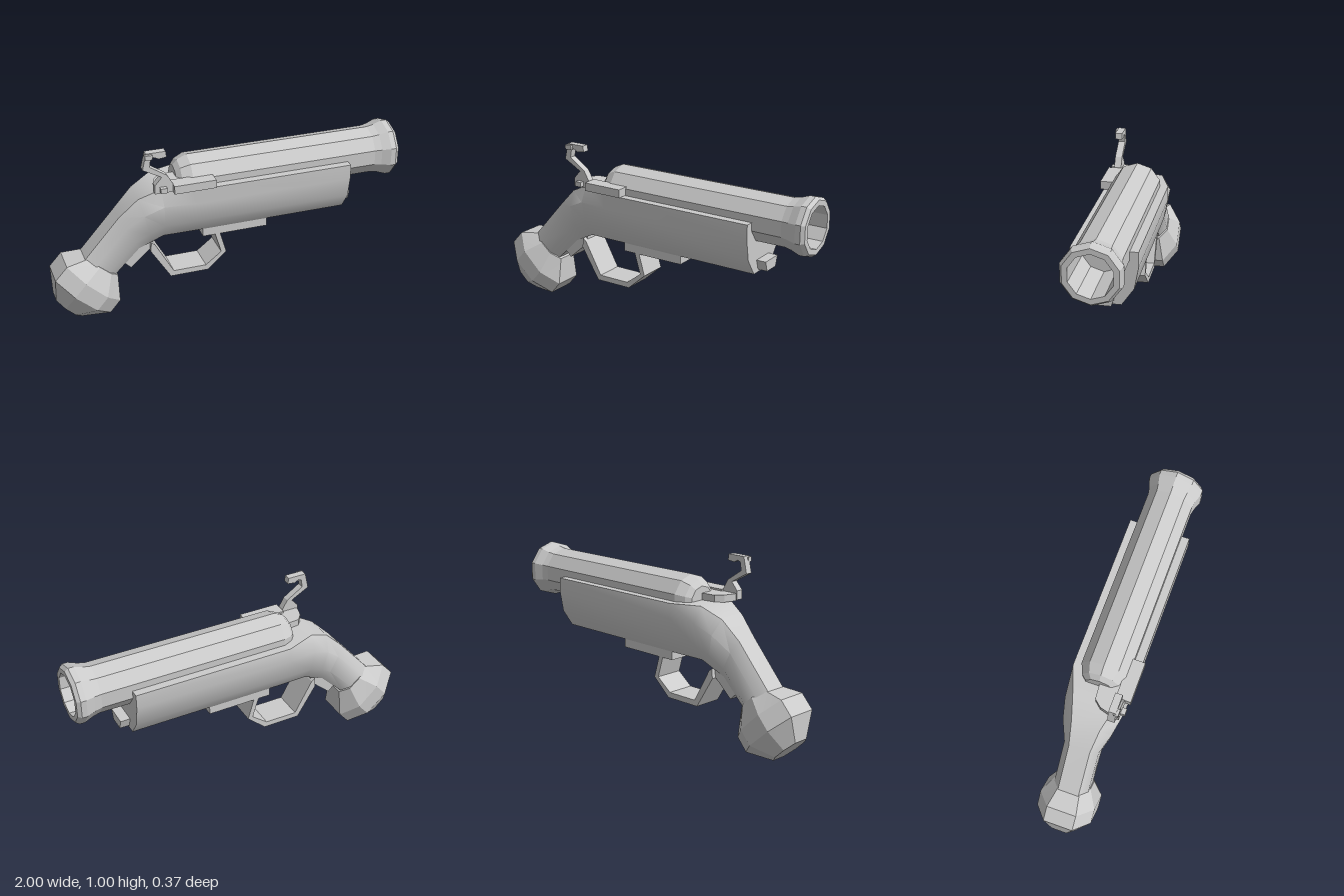
import * as THREE from 'three';
import { toCreasedNormals } from 'three/addons/utils/BufferGeometryUtils.js';

const MID = -0.008; // z of the gun's centre plane
const flat = new THREE.MeshStandardMaterial({ color: 0xcccccc, flatShading: true, side: THREE.DoubleSide });
const smooth = new THREE.MeshStandardMaterial({ color: 0xcccccc });

function add(group, name, geometry, material = flat) {
  const mesh = new THREE.Mesh(geometry, material);
  mesh.name = name;
  group.add(mesh);
  return mesh;
}

// Side outline in x,y, extruded between two z values
function slab(points, z0, z1) {
  const shape = new THREE.Shape(points.map(([x, y]) => new THREE.Vector2(x, y)));
  return new THREE.ExtrudeGeometry(shape, { depth: z1 - z0, bevelEnabled: false }).translate(0, 0, z0);
}

function box(x0, x1, y0, y1, z0, z1) {
  return new THREE.BoxGeometry(x1 - x0, y1 - y0, z1 - z0)
    .translate((x0 + x1) / 2, (y0 + y1) / 2, (z0 + z1) / 2);
}

// Mirrored rings: top point, bottom point, then [fraction down, half width] pairs
function loft(rings, crease) {
  const pos = [], index = [];
  for (const [top, bottom, profile] of rings) {
    const half = profile.map(([t, w]) => [
      top[0] + (bottom[0] - top[0]) * t, top[1] + (bottom[1] - top[1]) * t, w]);
    for (const [x, y, w] of half) pos.push(x, y, MID + w);
    for (const [x, y, w] of half.reverse()) pos.push(x, y, MID - w);
  }
  const n = rings[0][2].length * 2, last = (rings.length - 1) * n;
  for (let r = 0; r < last; r += n) {
    for (let j = 0; j < n; j++) {
      const a = r + j, b = r + (j + 1) % n;
      index.push(a, a + n, b, b, a + n, b + n);
    }
  }
  for (let j = 1; j < n - 1; j++) {
    index.push(0, j, j + 1, last, last + j + 1, last + j);
  }
  const g = new THREE.BufferGeometry();
  g.setAttribute('position', new THREE.Float32BufferAttribute(pos, 3));
  g.setIndex(index);
  return toCreasedNormals(g, crease);
}

export function createModel() {
  const gun = new THREE.Group();
  gun.name = 'pistol';

  // Ten-sided barrel with closed breech, flared muzzle and open bore
  const barrelProfile = [
    [0, -0.3], [0.082, -0.3], [0.112, -0.275], [0.137, -0.22], [0.137, 0.86], [0.145, 0.9],
    [0.163, 0.95], [0.163, 0.98], [0.148, 1], [0.118, 1], [0.118, -0.15], [0, -0.15],
  ].map(([r, x]) => new THREE.Vector2(r, x));
  const barrel = new THREE.LatheGeometry(barrelProfile, 10, Math.PI / 2).rotateZ(-Math.PI / 2);
  add(gun, 'barrel', barrel).position.set(0, 0.752, MID);

  // Fore-end and grip as one continuous stock
  const body = [[0, 0.176], [0.28, 0.176], [0.68, 0.154], [1, 0.088]];
  const neck = [[0, 0.06], [0.28, 0.1], [0.72, 0.1], [1, 0.06]];
  add(gun, 'stock', loft([
    [[0.69, 0.755], [0.69, 0.455], body],
    [[-0.23, 0.755], [-0.23, 0.455], body],
    [[-0.4, 0.758], [-0.385, 0.455], [[0, 0.115], [0.28, 0.165], [0.7, 0.145], [1, 0.085]]],
    [[-0.52, 0.7], [-0.455, 0.42], [[0, 0.08], [0.28, 0.14], [0.7, 0.13], [1, 0.075]]],
    [[-0.625, 0.597], [-0.52, 0.385], neck],
    [[-0.83, 0.365], [-0.67, 0.235], neck],
  ], 0.75), smooth);

  // Faceted pommel
  const oct = (flatHalf, wide) => [[0, flatHalf], [0.3, wide], [0.7, wide], [1, flatHalf]];
  add(gun, 'pommel', loft([
    [[-0.8, 0.374], [-0.647, 0.24], oct(0.06, 0.105)],
    [[-0.932, 0.358], [-0.647, 0.085], oct(0.085, 0.161)],
    [[-1, 0.283], [-0.706, 0.016], oct(0.085, 0.161)],
    [[-1, 0.134], [-0.86, 0], oct(0.045, 0.085)],
  ], 0.3), smooth);

  // Trigger guard loop, its tang and the plate above it
  add(gun, 'triggerGuard', slab([
    [-0.055, 0.41], [-0.018, 0.28], [-0.128, 0.182], [-0.348, 0.182], [-0.46, 0.365], [-0.455, 0.42],
    [-0.435, 0.405], [-0.33, 0.214], [-0.14, 0.214], [-0.048, 0.285], [-0.085, 0.41],
  ], MID - 0.084, MID + 0.084));
  add(gun, 'guardTang', slab([
    [-0.655, 0.31], [-0.62, 0.32], [-0.57, 0.27], [-0.44, 0.385], [-0.44, 0.44], [-0.55, 0.43],
  ], MID - 0.06, MID + 0.06));
  add(gun, 'guardPlate', box(-0.155, 0.225, 0.405, 0.46, MID - 0.084, MID + 0.084));

  // Tapered lug under the front of the stock
  const lug = [[0, 0.065], [1, 0.046]];
  add(gun, 'frontLug', loft([
    [[0.745, 0.528], [0.745, 0.47], lug],
    [[0.66, 0.528], [0.66, 0.47], lug],
  ], 0.3));

  // Lock plate lying on the stock, with a side bar
  const plate = slab([
    [-0.2, -0.13], [-0.35, -0.13], [-0.44, -0.11], [-0.42, -0.04], [-0.385, 0], [-0.27, 0.01], [-0.2, 0.01],
  ], 0, 0.04).rotateX(-Math.PI / 2).translate(0, 0.755, 0);
  add(gun, 'lockPlate', plate);
  add(gun, 'lockBar', box(-0.345, -0.11, 0.758, 0.805, 0.1, 0.185));

  // Cranked hammer with pivot pin and head pin
  add(gun, 'hammer', slab([
    [-0.345, 0.76], [-0.445, 0.76], [-0.445, 0.81], [-0.405, 0.855], [-0.508, 0.912], [-0.487, 1.004],
    [-0.38, 1.004], [-0.375, 0.97], [-0.42, 0.965], [-0.445, 0.978], [-0.462, 0.97], [-0.47, 0.925],
    [-0.375, 0.862], [-0.345, 0.81],
  ], 0.113, 0.153));
  add(gun, 'pivotPin', box(-0.418, -0.382, 0.77, 0.798, 0.14, 0.178));
  add(gun, 'headPin', box(-0.495, -0.455, 0.972, 0.998, 0.14, 0.167));

  return gun;
}
